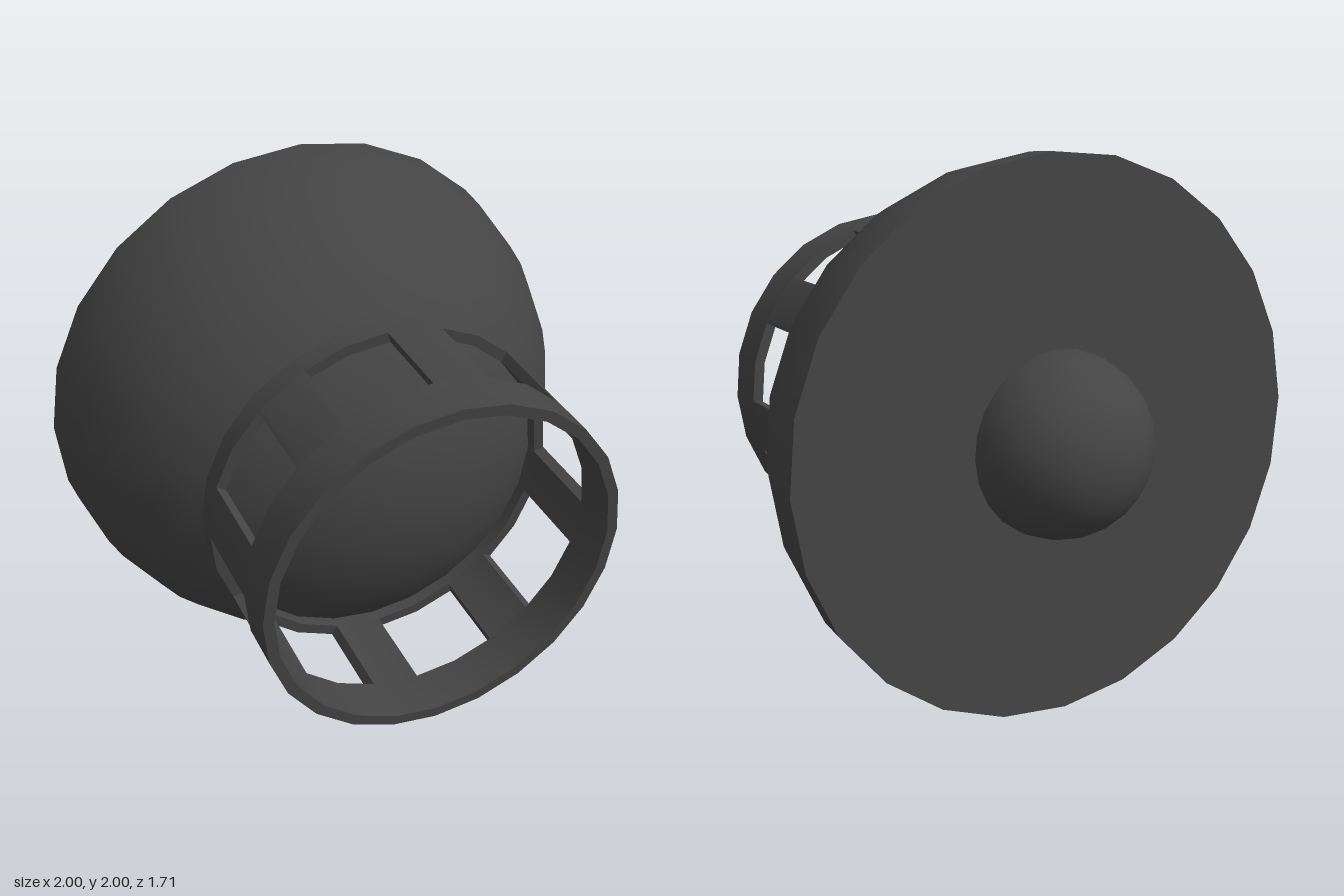
import * as THREE from 'three';
import { toCreasedNormals } from 'three/addons/utils/BufferGeometryUtils.js';

const STEP = Math.PI / 12; // 24-sided round parts
const OUTER = 0.666, INNER = 0.626;

// Point on a 24-sided polygon, angle measured clockwise from the top
function rim(r, a) {
  const off = a - Math.floor(a / STEP + 1e-6) * STEP - STEP / 2;
  const d = r * Math.cos(STEP / 2) / Math.cos(off);
  return new THREE.Vector2(d * Math.sin(a), d * Math.cos(a));
}

// Polygon arc from a to b, keeping every corner in between
function arc(r, a, b) {
  const pts = [rim(r, a)];
  for (let k = Math.ceil(a / STEP + 1e-4); k * STEP < b - 1e-4; k++) pts.push(rim(r, k * STEP));
  pts.push(rim(r, b));
  return pts;
}

function extrude(shape, z0, z1) {
  const g = new THREE.ExtrudeGeometry(shape, { depth: z1 - z0, bevelEnabled: false });
  g.translate(0, 0, z0);
  return toCreasedNormals(g, 0.45);
}

function circle(r) {
  return Array.from({ length: 24 }, (_, i) => rim(r, i * STEP));
}

export function createModel() {
  const model = new THREE.Group();
  const darkGrey = new THREE.MeshStandardMaterial({ color: 0x444444 });
  darkGrey.name = 'darkGrey';

  const body = new THREE.Group();
  body.name = 'tiltedBody';
  body.rotation.x = 0.0748;
  body.position.set(0, 1, -0.522);
  model.add(body);

  function add(name, geometry, parent = body) {
    const mesh = new THREE.Mesh(geometry, darkGrey);
    mesh.name = name;
    parent.add(mesh);
  }

  // Dome, its flat back and the ball set in the middle
  add('dome', new THREE.SphereGeometry(1, 24, 12, 0, Math.PI * 2, 0, Math.PI / 2).rotateX(Math.PI / 2));
  add('domeBack', new THREE.CircleGeometry(1, 24).rotateY(Math.PI));
  add('backBall', new THREE.SphereGeometry(0.333, 24, 12, 0, Math.PI * 2, 0, Math.PI / 2).rotateX(-Math.PI / 2));

  // Collar: two hoops joined by eight pillars, leaving eight windows
  const collar = new THREE.Group();
  collar.name = 'collar';
  body.add(collar);
  // The hole runs opposite to the outline so its wall faces inward
  const hoop = new THREE.Shape(circle(OUTER));
  hoop.holes.push(new THREE.Path(circle(INNER).reverse()));
  add('rearHoop', extrude(hoop, 0.7, 0.825), collar);
  add('frontHoop', extrude(hoop, 1.16, 1.332), collar);

  // Window sides are parallel, so the inner half angle is wider
  const halfWidth = 0.155;
  const outHalf = Math.asin(halfWidth / OUTER), inHalf = Math.asin(halfWidth / INNER);
  for (let i = 0; i < 8; i++) {
    const a = -STEP + i * Math.PI / 4, b = a + Math.PI / 4;
    const outline = [...arc(OUTER, a + outHalf, b - outHalf), ...arc(INNER, a + inHalf, b - inHalf).reverse()];
    add('pillar', extrude(new THREE.Shape(outline), 0.825, 1.16), collar);
  }
  return model;
}
